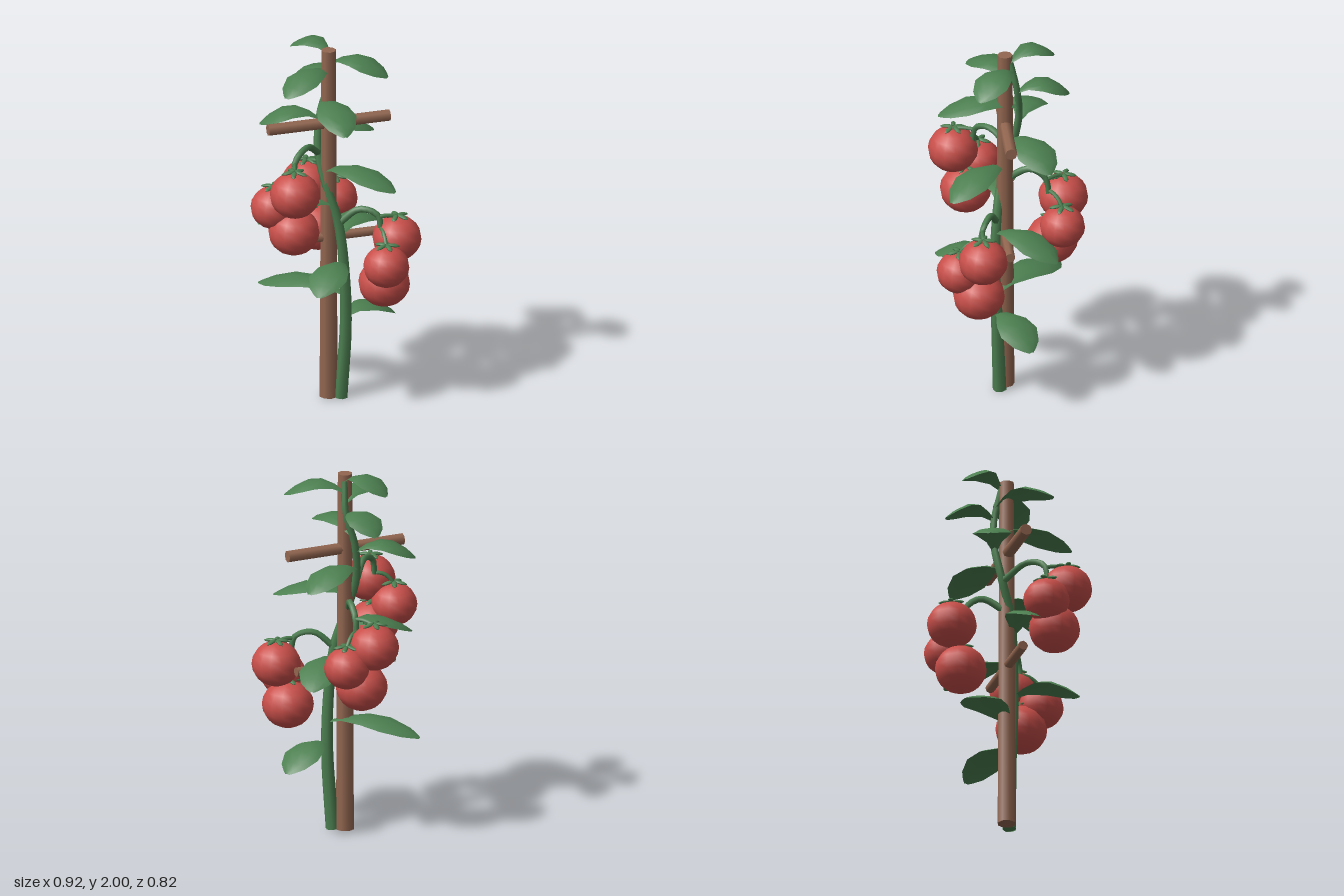
import * as THREE from 'three';

const wood = new THREE.MeshStandardMaterial({ color: 0x926650 });
const leafGreen = new THREE.MeshStandardMaterial({ color: 0x4c7f50, side: THREE.DoubleSide });
const fruitRed = new THREE.MeshStandardMaterial({ color: 0xc94f4a });
wood.name = 'wood';
leafGreen.name = 'leaf green';
fruitRed.name = 'fruit red';

const v = (x, y, z) => new THREE.Vector3(x, y, z);

function add(parent, name, geometry, material, position) {
  const mesh = new THREE.Mesh(geometry, material);
  mesh.name = name;
  if (position) mesh.position.copy(position);
  parent.add(mesh);
  return mesh;
}

// Tube whose radius runs from r0 to r1
function taperedTube(curve, r0, r1, segments, sides) {
  const geo = new THREE.TubeGeometry(curve, segments, 1, sides);
  const pos = geo.attributes.position;
  const p = v(0, 0, 0);
  for (let i = 0; i < pos.count; i++) {
    const t = Math.floor(i / (sides + 1)) / segments;
    const c = curve.getPointAt(t);
    p.fromBufferAttribute(pos, i).sub(c).multiplyScalar(r0 + (r1 - r0) * t).add(c);
    pos.setXYZ(i, p.x, p.y, p.z);
  }
  return geo;
}

// Arched leaf blade: cross-sections from base to tip with drooping sides
const leafProfile = [[0, 0.12], [0.18, 0.38], [0.42, 0.82], [0.64, 1], [0.85, 0.7], [0.95, 0.34], [1, 0.1]];
const leafAcross = [[-1, 0.3], [-0.6, 0.08], [0, 0], [0.6, 0.08], [1, 0.3]];
function leafGeometry(base, tip, halfWidth, arch) {
  const side = v(tip.z - base.z, 0, base.x - tip.x).normalize();
  const points = [];
  const index = [];
  const n = leafAcross.length;
  leafProfile.forEach(([t, w], row) => {
    const c = base.clone().lerp(tip, t);
    c.y += arch * 4 * t * (1 - t);
    leafAcross.forEach(([s, drop], col) => {
      const p = c.clone().addScaledVector(side, s * w * halfWidth);
      points.push(p.x, p.y - drop * w * halfWidth, p.z);
      if (row && col) {
        const a = row * n + col;
        index.push(a - n - 1, a - n, a, a - n - 1, a, a - 1);
      }
    });
  });
  const geo = new THREE.BufferGeometry();
  geo.setAttribute('position', new THREE.Float32BufferAttribute(points, 3));
  geo.setIndex(index);
  geo.computeVertexNormals();
  return geo;
}

// Small five-armed calyx sitting on a fruit, with raised arm tips
function addCalyx(parent, r, turn) {
  const calyx = new THREE.Group();
  calyx.name = 'calyx';
  for (let i = 0; i < 5; i++) {
    const arm = new THREE.SphereGeometry(1, 6, 5);
    arm.scale(0.036, 0.009, 0.015);
    arm.rotateZ(-0.2);
    arm.translate(0.037, r * 0.95 + 0.002, 0);
    arm.rotateY(turn + i * Math.PI * 0.4);
    add(calyx, 'sepal', arm, leafGreen);
  }
  parent.add(calyx);
}

export function createModel() {
  const model = new THREE.Group();
  model.name = 'tomatoPlant';

  // Stake and crossbars
  add(model, 'stake', new THREE.CylinderGeometry(0.04, 0.05, 1.975, 8), wood, v(0, 0.9875, 0.027));
  for (const [y, length, r] of [[1.56, 0.67, 0.032], [0.91, 0.57, 0.026]]) {
    const bar = new THREE.CylinderGeometry(r, r, length, 8).rotateZ(Math.PI / 2);
    add(model, 'crossbar', bar, wood, v(0, y, 0.027));
  }

  // Main vine winding around the stake
  const vine = new THREE.CatmullRomCurve3([
    v(0.057, 0, 0.06), v(0.08, 0.4, 0.075), v(0.072, 0.68, 0.085), v(0.04, 1, 0.075),
    v(-0.015, 1.2, 0.045), v(-0.045, 1.4, -0.015), v(-0.02, 1.6, -0.05),
    v(0.025, 1.77, -0.035), v(0.015, 1.94, 0),
  ]);
  add(model, 'vine', taperedTube(vine, 0.037, 0.016, 40, 7), leafGreen);
  add(model, 'vineFoot', new THREE.CircleGeometry(0.037, 7).rotateX(Math.PI / 2), leafGreen, v(0.057, 0.002, 0.06));
  const vinePoints = vine.getPoints(200);
  const vineAt = (y) => (vinePoints.find((p) => p.y >= y) || vinePoints[200]).clone();

  // Leaves: height at the vine, tip x, y, z, half width
  const leaves = [
    [0.46, 0.385, 0.39, -0.075, 0.11],
    [0.59, -0.285, 0.56, -0.29, 0.11],
    [0.77, -0.165, 0.72, 0.375, 0.105],
    [0.93, 0.31, 0.88, -0.22, 0.11],
    [1.1, -0.395, 1.04, 0.04, 0.105],
    [1.28, 0.27, 1.25, 0.335, 0.105],
    [1.45, 0.305, 1.41, -0.18, 0.11],
    [1.56, -0.32, 1.52, -0.165, 0.105],
    [1.65, -0.02, 1.62, 0.38, 0.105],
    [1.76, -0.02, 1.72, -0.315, 0.1],
    [1.83, -0.285, 1.8, 0.19, 0.1],
    [1.88, 0.275, 1.85, 0.19, 0.1],
    [1.94, -0.115, 1.91, -0.24, 0.09],
  ];
  for (const [y, tx, ty, tz, w] of leaves) {
    add(model, 'leaf', leafGeometry(vineAt(y), v(tx, ty, tz), w, 0.073), leafGreen);
  }

  // Fruit trusses: stalk path, then fruits as x, y, z, radius
  const trusses = [
    {
      path: [v(-0.045, 1.38, -0.01), v(-0.14, 1.46, 0.09), v(-0.225, 1.42, 0.16), v(-0.24, 1.33, 0.175), v(-0.25, 1.18, 0.18)],
      fruits: [[-0.265, 1.28, 0.275, 0.133], [-0.338, 1.165, 0.138, 0.123], [-0.25, 1.045, 0.21, 0.136]],
    },
    {
      path: [v(0.04, 1.0, 0.075), v(0.14, 1.085, 0.12), v(0.225, 1.06, 0.165), v(0.24, 0.98, 0.18), v(0.25, 0.82, 0.18)],
      fruits: [[0.33, 0.92, 0.175, 0.13], [0.235, 0.815, 0.29, 0.122], [0.255, 0.68, 0.19, 0.137]],
    },
    {
      path: [v(-0.02, 1.21, 0.035), v(0.03, 1.3, -0.1), v(0.04, 1.25, -0.18), v(0.04, 1.16, -0.2), v(0.03, 1.0, -0.21)],
      fruits: [[-0.022, 1.1, -0.283, 0.132], [0.128, 1.0, -0.264, 0.12], [0.02, 0.868, -0.22, 0.137]],
    },
  ];
  trusses.forEach(({ path, fruits }, k) => {
    const truss = new THREE.Group();
    truss.name = 'truss';
    model.add(truss);
    const stalk = new THREE.CatmullRomCurve3(path);
    add(truss, 'stalk', taperedTube(stalk, 0.02, 0.013, 16, 6), leafGreen);
    fruits.forEach(([x, y, z, r], i) => {
      const fruit = new THREE.Group();
      fruit.name = 'tomato';
      fruit.position.set(x, y, z);
      truss.add(fruit);
      add(fruit, 'flesh', new THREE.SphereGeometry(r, 14, 10).scale(1, 0.93, 1), fruitRed);
      addCalyx(fruit, r, 0.5 + k * 1.1 + i * 0.7);
      // Short pedicel from the stalk to the fruit top
      const start = stalk.getPoint(0.55 + i * 0.18);
      const top = v(x, y + r * 0.9, z);
      const bend = start.clone().lerp(top, 0.6);
      bend.y = Math.max(start.y, top.y) + 0.012;
      add(truss, 'pedicel', taperedTube(new THREE.QuadraticBezierCurve3(start, bend, top), 0.012, 0.01, 6, 6), leafGreen);
    });
  });

  return model;
}
